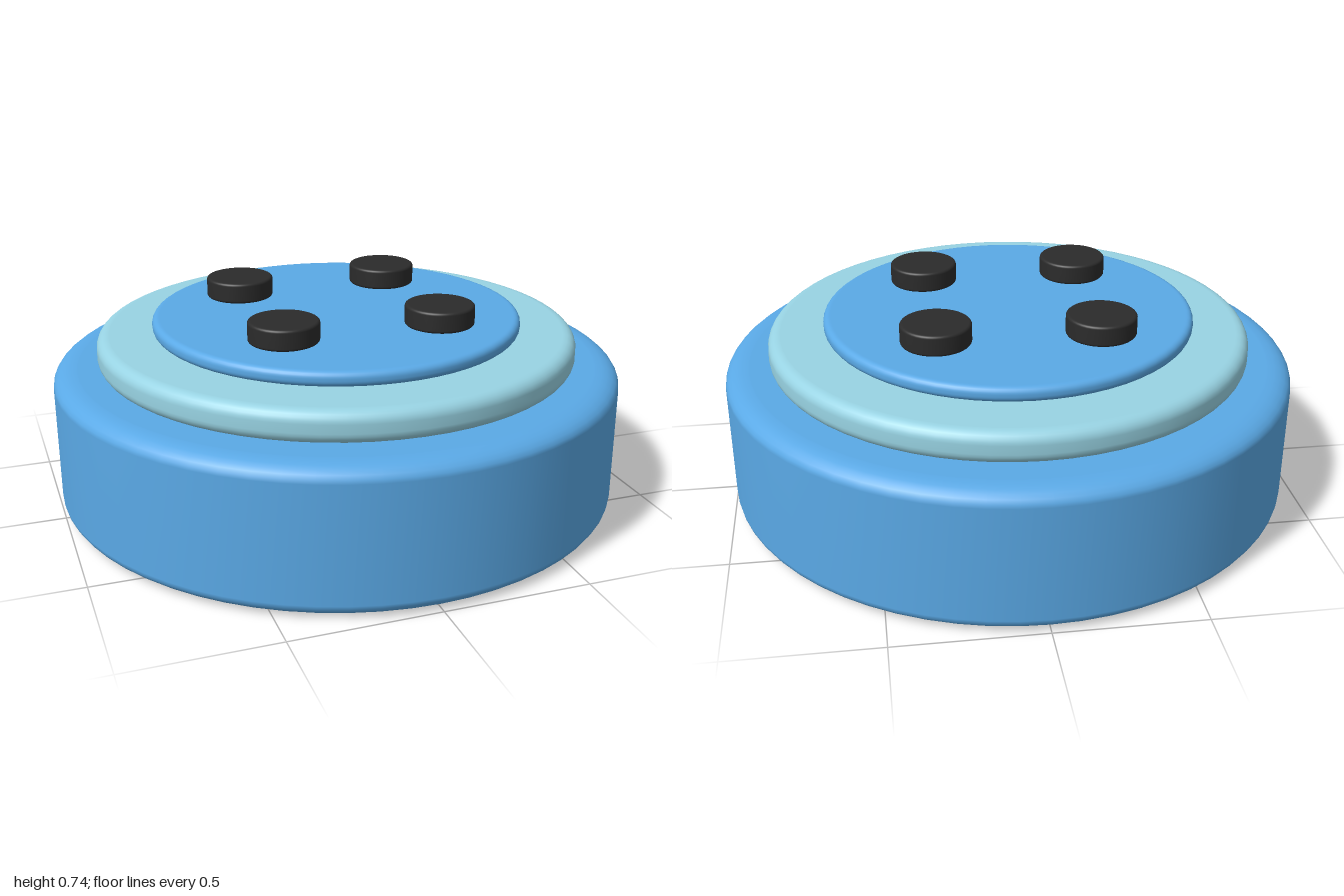
import * as THREE from 'three';

// Solid disc with softly rounded rims, from y0 to y1; rx and ry are the rim radii
function roundedDisc(name, r, y0, y1, rx, ry, color, segments = 64) {
  const steps = 6;
  const pts = [new THREE.Vector2(0, y0), new THREE.Vector2(r - rx - 0.005, y0)];
  const arc = (from, cy) => {
    for (let i = 0; i <= steps; i++) {
      const a = from + (i / steps) * Math.PI / 2;
      pts.push(new THREE.Vector2(r - rx + rx * Math.cos(a), cy + ry * Math.sin(a)));
    }
  };
  arc(-Math.PI / 2, y0 + ry);
  arc(0, y1 - ry);
  // Extra point keeps the flat top evenly shaded
  pts.push(new THREE.Vector2(r - rx - 0.005, y1), new THREE.Vector2(0, y1));
  const unique = pts.filter((p, i) => i === 0 || p.distanceTo(pts[i - 1]) > 1e-5);
  const mesh = new THREE.Mesh(
    new THREE.LatheGeometry(unique, segments),
    new THREE.MeshStandardMaterial({ color })
  );
  mesh.name = name;
  return mesh;
}

export function createModel() {
  const group = new THREE.Group();
  group.name = 'roundBase';
  const blue = 0x5aa9e6, paleBlue = 0x98d3e3, black = 0x2b2b2b;

  // Stacked discs
  group.add(roundedDisc('body', 1, 0, 0.5, 0.08, 0.05, blue));
  group.add(roundedDisc('ring', 0.845, 0.5, 0.61, 0.04, 0.04, paleBlue));
  group.add(roundedDisc('topPlate', 0.65, 0.61, 0.662, 0.022, 0.022, blue));

  // Four studs on the top plate
  for (const x of [-0.278, 0.278]) {
    for (const z of [-0.278, 0.278]) {
      const stud = roundedDisc('stud', 0.12, 0.665, 0.738, 0.01, 0.01, black, 40);
      stud.position.set(x, 0, z);
      group.add(stud);
    }
  }
  return group;
}
